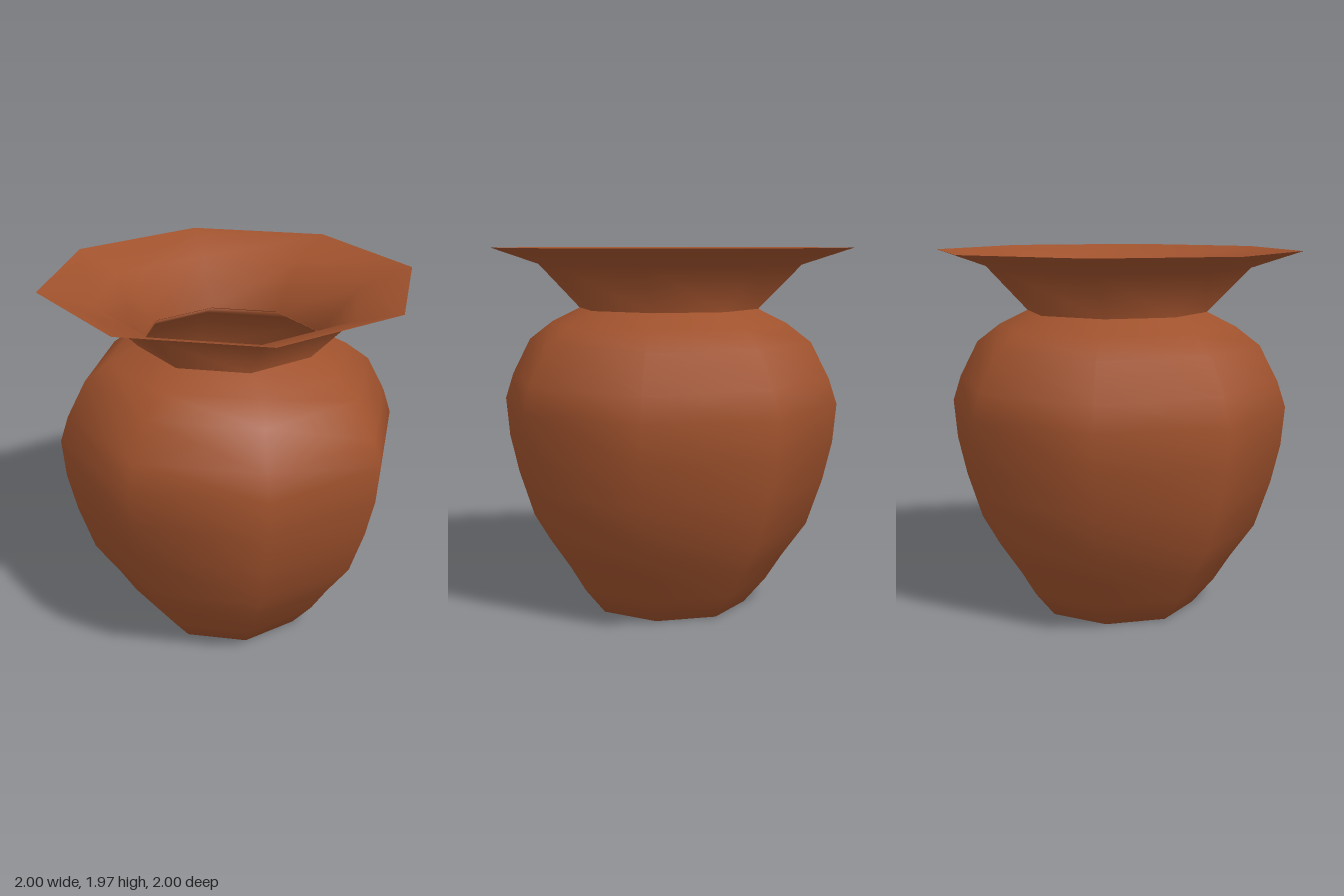
import * as THREE from 'three';

const SIDES = 8;

// Turn a profile of [radius, height] pairs into an eight-sided shell
function turned(name, profile, material) {
  const points = profile.map(([r, y]) => new THREE.Vector2(r, y));
  const mesh = new THREE.Mesh(new THREE.LatheGeometry(points, SIDES), material);
  mesh.name = name;
  return mesh;
}

export function createModel() {
  const clay = new THREE.MeshStandardMaterial({ color: 0xa0522d, side: THREE.DoubleSide });
  clay.name = 'clay';

  const vase = new THREE.Group();
  vase.name = 'vase';

  // Base and bulging body, open at the neck
  vase.add(turned('body', [
    [0, 0], [0.43, 0], [0.55, 0.14], [0.64, 0.28], [0.77, 0.46],
    [0.855, 0.71], [0.905, 0.92], [0.925, 1.13], [0.88, 1.27],
    [0.78, 1.465], [0.65, 1.565], [0.475, 1.652],
  ], clay));

  // Flared rim; its hidden foot follows the shoulder so the shading blends
  vase.add(turned('flaredRim', [
    [0.646, 1.563], [0.492, 1.64], [0.725, 1.88], [1, 1.97],
  ], clay));

  return vase;
}
